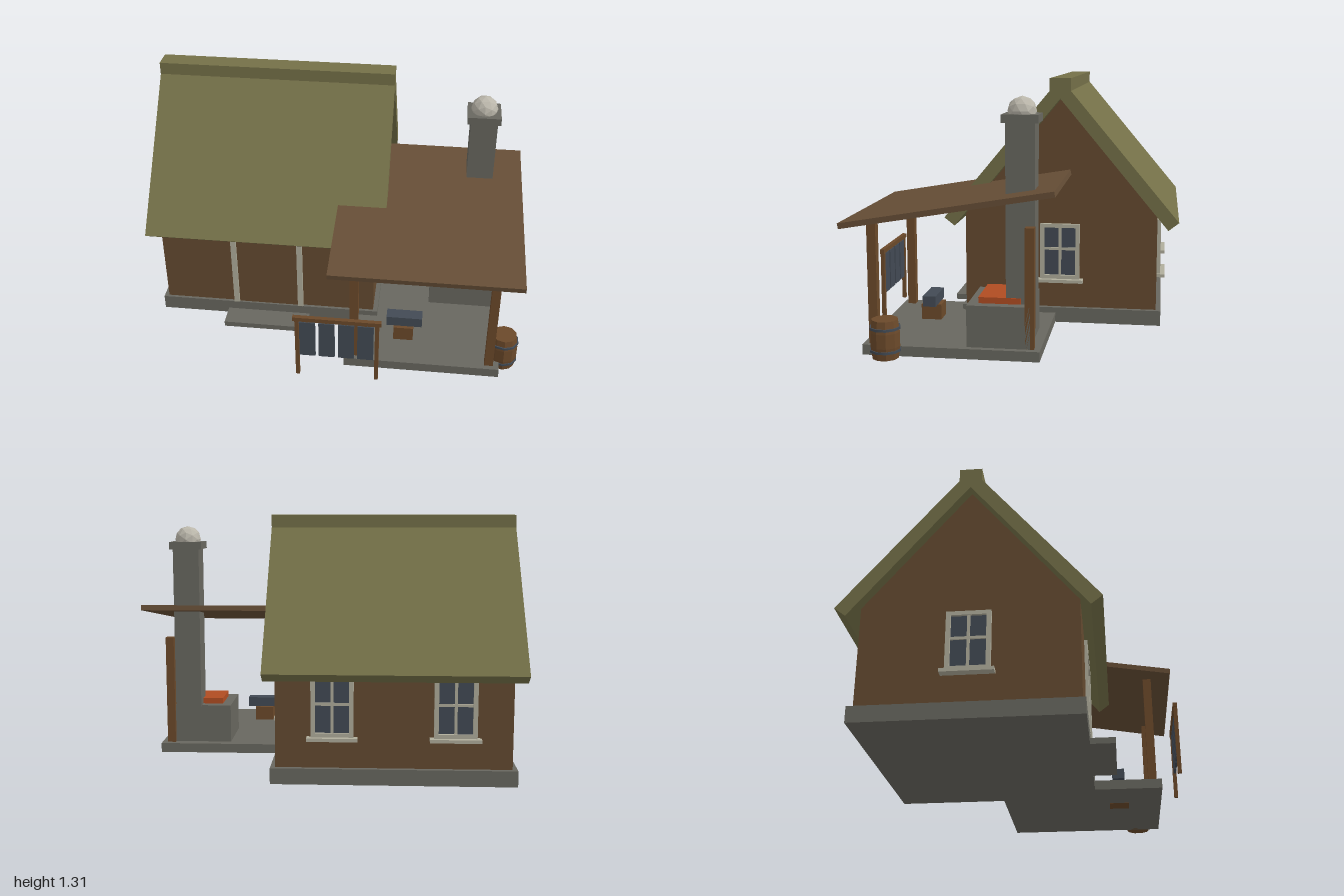
import * as THREE from 'three';

const mat = (name, color, flat = false) => {
  const m = new THREE.MeshStandardMaterial({ color, flatShading: flat });
  m.name = name;
  return m;
};

export function createModel() {
  const M = {
    wall: mat('wall brown', 0x644a30),
    timber: mat('timber', 0x6b492a),
    plank: mat('roof plank', 0x664e36),
    thatch: mat('thatch', 0x747048),
    stone: mat('stone', 0x68675f),
    trim: mat('pale trim', 0xb0ad9b),
    iron: mat('dark iron', 0x424a54),
    ember: mat('ember', 0xb04c22),
    smoke: mat('smoke', 0xbab6aa, true),
    barrel: mat('barrel wood', 0x6b492a, true),
  };
  const model = new THREE.Group();
  model.name = 'smithy';

  const add = (parent, name, geo, material, x = 0, y = 0, z = 0) => {
    const mesh = new THREE.Mesh(geo, material);
    mesh.name = name;
    mesh.position.set(x, y, z);
    parent.add(mesh);
    return mesh;
  };
  // box given by its extents on each axis
  const box = (parent, name, material, [x0, x1], [y0, y1], [z0, z1]) =>
    add(parent, name, new THREE.BoxGeometry(x1 - x0, y1 - y0, z1 - z0), material,
      (x0 + x1) / 2, (y0 + y1) / 2, (z0 + z1) / 2);
  // profile of [z, y] points extruded along x
  const prism = (parent, name, material, pts, x0, x1) => {
    const shape = new THREE.Shape(pts.map(([z, y]) => new THREE.Vector2(-z, y)));
    const geo = new THREE.ExtrudeGeometry(shape, { depth: x1 - x0, bevelEnabled: false });
    geo.rotateY(Math.PI / 2);
    return add(parent, name, geo, material, x0);
  };

  // House: plinth, gabled walls, thatched roof with ridge cap
  box(model, 'plinth', M.stone, [-0.97, 0.24], [0, 0.08], [-0.71, 0.355]);
  prism(model, 'walls', M.wall,
    [[0.34, 0.08], [0.34, 0.577], [-0.175, 1.197], [-0.685, 0.583], [-0.685, 0.08]], -0.945, 0.215);
  prism(model, 'thatchRoof', M.thatch,
    [[0.39, 0.52], [0.445, 0.563], [-0.12, 1.24], [-0.23, 1.24], [-0.797, 0.563], [-0.742, 0.52], [-0.175, 1.2]],
    -1, 0.27);
  box(model, 'ridgeCap', M.thatch, [-1, 0.27], [1.235, 1.305], [-0.23, -0.12]);

  // Door with frame and step
  box(model, 'door', M.wall, [-0.535, -0.205], [0.08, 0.53], [0.335, 0.345]);
  for (const x of [-0.55, -0.19])
    box(model, 'doorJamb', M.trim, [x - 0.015, x + 0.015], [0.08, 0.56], [0.33, 0.356]);
  box(model, 'doorLintel', M.trim, [-0.565, -0.175], [0.53, 0.56], [0.33, 0.356]);
  box(model, 'doorStep', M.stone, [-0.6, -0.14], [0, 0.03], [0.3, 0.475]);

  // Windows, built facing +z then turned to their wall
  const addWindow = (x, z, turn) => {
    const w = new THREE.Group();
    w.name = 'window';
    box(w, 'glass', M.iron, [-0.09, 0.09], [0.25, 0.52], [0, 0.006]);
    for (const s of [-1, 1])
      box(w, 'frameSide', M.trim, [s * 0.094 - 0.011, s * 0.094 + 0.011], [0.235, 0.535], [-0.005, 0.02]);
    box(w, 'frameTop', M.trim, [-0.083, 0.083], [0.515, 0.535], [-0.005, 0.02]);
    box(w, 'frameBottom', M.trim, [-0.083, 0.083], [0.235, 0.257], [-0.005, 0.02]);
    box(w, 'mullion', M.trim, [-0.007, 0.007], [0.25, 0.52], [0, 0.014]);
    box(w, 'transom', M.trim, [-0.083, 0.083], [0.393, 0.407], [0, 0.013]);
    box(w, 'sill', M.trim, [-0.125, 0.125], [0.22, 0.237], [-0.005, 0.045]);
    w.position.set(x, 0, z);
    w.rotation.y = turn;
    model.add(w);
  };
  addWindow(0.215, -0.172, Math.PI / 2);
  addWindow(-0.945, -0.172, -Math.PI / 2);
  for (const x of [-0.665, -0.065]) addWindow(x, -0.685, Math.PI);

  // Open porch: slab, posts and sloping plank roof
  box(model, 'porchSlab', M.stone, [0.09, 0.9], [0, 0.05], [-0.15, 0.71]);
  for (const [x, z] of [[0.14, 0.662], [0.848, 0.662], [0.848, -0.098], [0.14, -0.098]])
    box(model, 'porchPost', M.timber, [x - 0.022, x + 0.022], [0.01, z > 0 ? 0.645 : 0.635], [z - 0.022, z + 0.022]);
  prism(model, 'porchRoof', M.plank,
    [[0.785, 0.628], [0.79, 0.655], [-0.225, 0.826], [-0.23, 0.799]], 0.015, 0.975);

  // Forge: hearth, embers, chimney, cap and smoke
  box(model, 'hearth', M.stone, [0.52, 0.87], [0.04, 0.255], [-0.1, 0.205]);
  box(model, 'embers', M.ember, [0.57, 0.823], [0.25, 0.285], [-0.05, 0.155]);
  box(model, 'chimney', M.stone, [0.68, 0.82], [0.25, 1.12], [-0.117, 0.022]);
  box(model, 'chimneyCap', M.stone, [0.662, 0.835], [1.118, 1.157], [-0.135, 0.04]);
  add(model, 'smokePuff', new THREE.IcosahedronGeometry(0.07, 1), M.smoke, 0.748, 1.17, -0.048);

  // Anvil on its block
  box(model, 'anvilBlock', M.timber, [0.34, 0.445], [-0.001, 0.13], [0.428, 0.533]);
  box(model, 'anvil', M.iron, [0.3, 0.49], [0.13, 0.185], [0.447, 0.515]);

  // Barrel with two hoops
  const barrel = new THREE.Group();
  barrel.name = 'barrel';
  barrel.position.set(0.922, 0, 0.588);
  const profile = [[0, 0], [0.064, 0], [0.073, 0.06], [0.073, 0.13], [0.064, 0.19], [0, 0.19]];
  add(barrel, 'staves', new THREE.LatheGeometry(profile.map(p => new THREE.Vector2(...p)), 10), M.barrel);
  for (const y of [0.04, 0.15])
    add(barrel, 'hoop', new THREE.CylinderGeometry(0.076, 0.076, 0.012, 10), M.iron, 0, y);
  model.add(barrel);

  // Display rack with hanging iron plates
  const rack = new THREE.Group();
  rack.name = 'rack';
  for (const x of [-0.139, 0.269])
    box(rack, 'rackPost', M.timber, [x - 0.01, x + 0.01], [0, 0.375], [0.78, 0.8]);
  box(rack, 'rackRail', M.timber, [-0.16, 0.29], [0.357, 0.38], [0.778, 0.8]);
  for (let i = 0; i < 4; i++) {
    const x = -0.086 + i * 0.099;
    box(rack, 'hangingPlate', M.iron, [x - 0.041, x + 0.041], [0.13, 0.348], [0.784, 0.796]);
    box(rack, 'hook', M.timber, [x - 0.006, x + 0.006], [0.34, 0.36], [0.787, 0.793]);
  }
  model.add(rack);

  return model;
}
